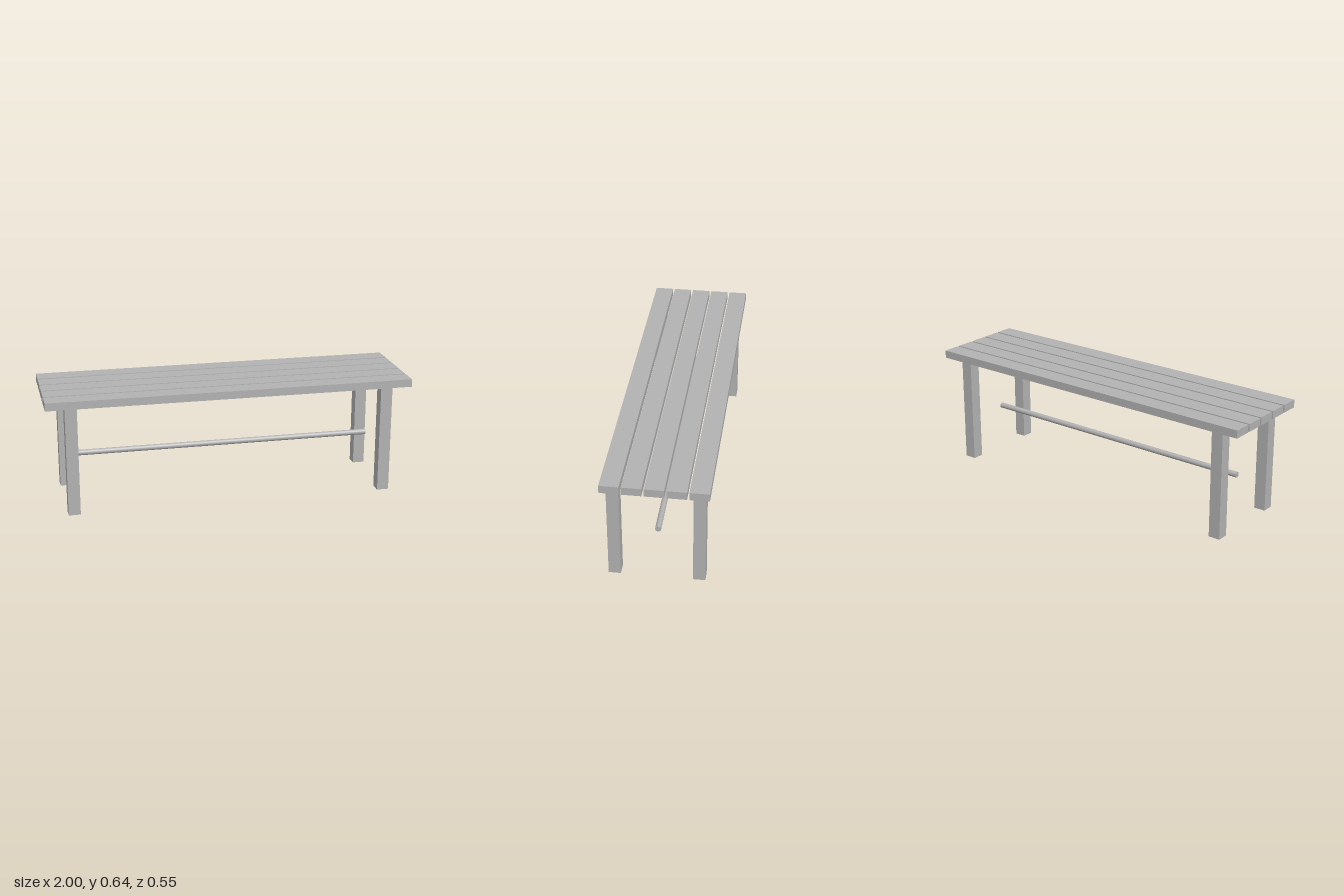
import * as THREE from 'three';

export function createModel() {
  const bench = new THREE.Group();
  bench.name = 'bench';
  const grey = new THREE.MeshStandardMaterial({ color: 0xb2b2b2 });
  grey.name = 'grey';

  const add = (name, geometry, x, y, z) => {
    const mesh = new THREE.Mesh(geometry, grey);
    mesh.name = name;
    mesh.position.set(x, y, z);
    bench.add(mesh);
    return mesh;
  };

  // Five seat slats with narrow gaps
  const seatBottom = 0.597, slatHeight = 0.043, slatPitch = 0.1113;
  const slat = new THREE.BoxGeometry(2, slatHeight, 0.1);
  for (let i = -2; i <= 2; i++) {
    add('seatSlat', slat, 0, seatBottom + slatHeight / 2, i * slatPitch);
  }

  // Four square legs, set slightly off centre
  const leg = new THREE.BoxGeometry(0.065, seatBottom, 0.064);
  for (const x of [-0.866, 0.862]) {
    add('frontLeg', leg, x, seatBottom / 2, 0.227);
    add('backLeg', leg, x, seatBottom / 2, -0.213);
  }

  // Round rail running lengthwise between the leg pairs
  const rail = new THREE.CylinderGeometry(0.0155, 0.0155, 1.664, 32);
  add('rail', rail, -0.002, 0.26, 0.007).rotation.z = Math.PI / 2;

  return bench;
}
